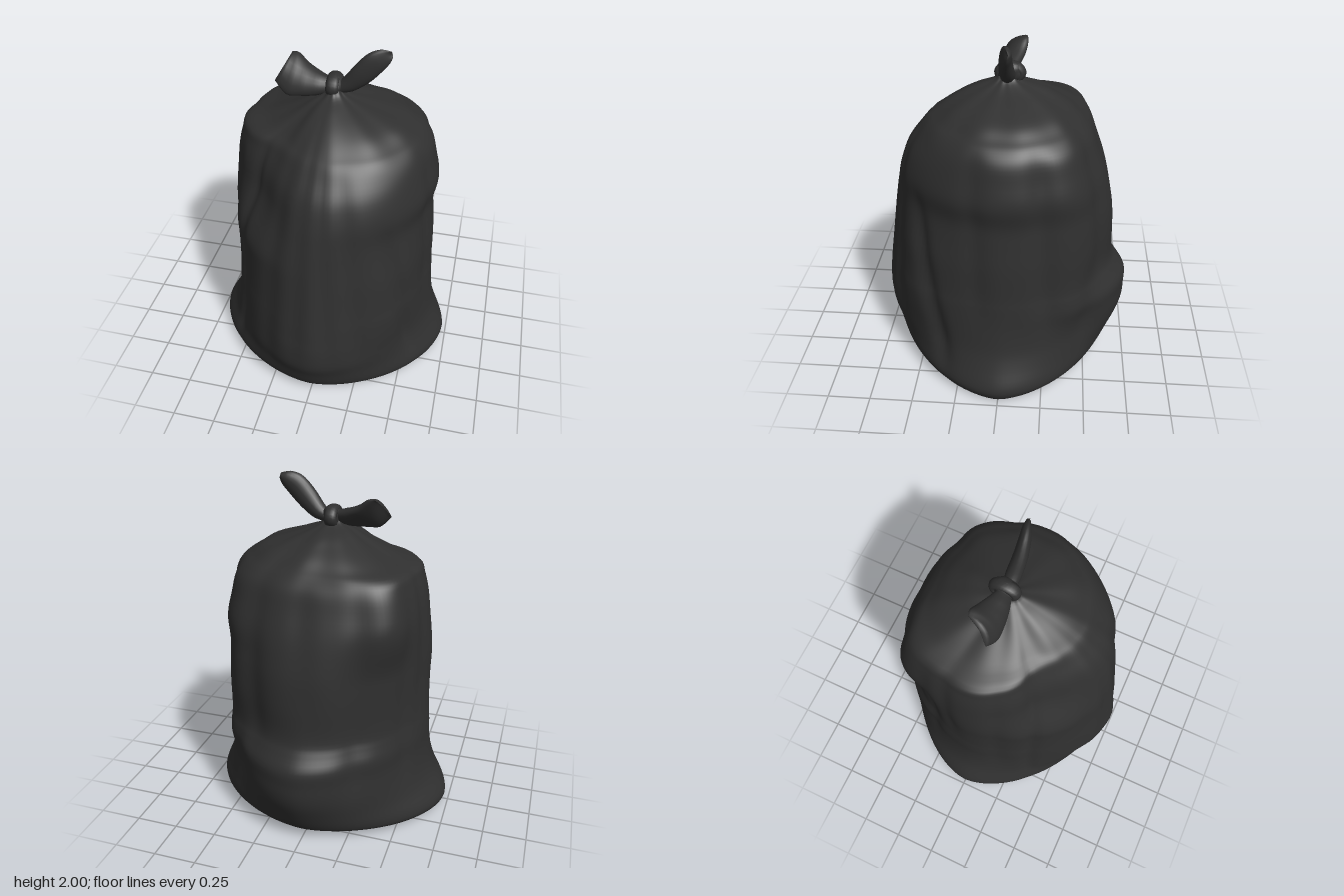
import * as THREE from 'three';

const plastic = new THREE.MeshStandardMaterial({ color: 0x303030, side: THREE.DoubleSide });

// Skins a list of closed rings (equal point counts) and closes both ends.
function loft(name, rings) {
  const n = rings[0].length, pos = [], idx = [];
  rings.forEach(r => r.forEach(p => pos.push(p.x, p.y, p.z)));
  for (let i = 0; i < rings.length - 1; i++) {
    for (let j = 0; j < n; j++) {
      const a = i * n + j, b = i * n + (j + 1) % n;
      idx.push(a, a + n, b, b, a + n, b + n);
    }
  }
  for (const end of [0, rings.length - 1]) {
    const c = new THREE.Vector3();
    rings[end].forEach(p => c.addScaledVector(p, 1 / n));
    const k = pos.length / 3;
    pos.push(c.x, c.y, c.z);
    for (let j = 0; j < n; j++) {
      const a = end * n + j, b = end * n + (j + 1) % n;
      if (end) idx.push(a, k, b); else idx.push(a, b, k);
    }
  }
  const g = new THREE.BufferGeometry();
  g.setAttribute('position', new THREE.Float32BufferAttribute(pos, 3));
  g.setIndex(idx);
  g.computeVertexNormals();
  const mesh = new THREE.Mesh(g, plastic);
  mesh.name = name;
  return mesh;
}

// Bag extents by height: y, -x, +x, front z, back z
const levels = [
  [0.02, 0.70, 0.70, 0.59, 0.48], [0.05, 0.725, 0.72, 0.64, 0.60],
  [0.10, 0.72, 0.725, 0.67, 0.64], [0.20, 0.66, 0.68, 0.70, 0.67],
  [0.30, 0.625, 0.645, 0.735, 0.69], [0.42, 0.605, 0.625, 0.74, 0.695],
  [0.52, 0.60, 0.615, 0.73, 0.705], [0.60, 0.595, 0.61, 0.72, 0.668],
  [0.67, 0.59, 0.605, 0.71, 0.645], [0.85, 0.587, 0.60, 0.685, 0.645],
  [1.00, 0.59, 0.587, 0.665, 0.635], [1.12, 0.585, 0.58, 0.65, 0.612],
  [1.25, 0.572, 0.60, 0.625, 0.575], [1.38, 0.555, 0.575, 0.575, 0.525],
  [1.48, 0.53, 0.55, 0.50, 0.485], [1.54, 0.505, 0.51, 0.45, 0.44],
  [1.575, 0.385, 0.46, 0.405, 0.405], [1.62, 0.28, 0.39, 0.34, 0.355],
  [1.66, 0.20, 0.27, 0.27, 0.29], [1.70, 0.13, 0.14, 0.18, 0.21],
  [1.735, 0.065, 0.065, 0.085, 0.09], [1.77, 0.04, 0.04, 0.05, 0.05],
];

// Creases: angle (90 = front), drift per unit height, width, depth, from y, to y
const creases = [
  [96, -2, 5, 0.022, 0.3, 1.75], [80, 4, 4, 0.02, 0.3, 1.7], [113, -4, 6, 0.02, 0.2, 1.75],
  [66, 6, 6, 0.025, 0.25, 1.6], [144, -3, 4, 0.03, 0.1, 1.65], [29, 20, 5, 0.045, 0.1, 1.2],
  [163, 0, 6, 0.02, 0.3, 1.6], [12, 3, 6, 0.02, 0.5, 1.6], [-26, 4, 7, 0.04, 0.4, 1.6],
  [-64, 6, 8, 0.04, 0.5, 1.7], [-48, -8, 7, 0.03, 0.2, 0.8], [243, -4, 7, 0.03, 0.3, 1.6],
  [209, 0, 6, 0.025, 0.3, 1.6], [268, 5, 8, 0.02, 0.7, 1.6], [192, 4, 5, 0.025, 0.7, 1.65],
];

// Broad swellings (negative depth) and hollows, in the same form
const lumps = [
  [130, 0, 27, 0.19, 1.04, 1.8], [225, 0, 22, -0.15, 1.08, 1.8], [315, 0, 25, -0.09, 0.4, 1.8],
  [45, 0, 22, -0.055, 0.35, 1.1], [278, 0, 30, -0.07, 0.15, 0.65],
];

function foldDepth(deg, y) {
  let d = 0;
  for (const [a, drift, w, depth, y0, y1] of [...creases, ...lumps]) {
    let t = deg - a - drift * (y - y0);
    t = ((t + 540) % 360) - 180;
    const fade = THREE.MathUtils.smoothstep(y, y0 - 0.1, y0 + 0.25)
      * (1 - THREE.MathUtils.smoothstep(y, y1 - 0.3, y1 + 0.1));
    d += depth * fade * Math.exp(-(t * t) / (w * w));
  }
  // Pleats gathering towards the knot
  const gather = THREE.MathUtils.smoothstep(y, 1.45, 1.72);
  return d + gather * 0.05 * (0.5 + 0.5 * Math.cos(THREE.MathUtils.degToRad(deg) * 11));
}

function makeBag() {
  const v = (a, b, c) => new THREE.Vector3(a, b, c);
  const xs = new THREE.CatmullRomCurve3(levels.map(l => v(l[0], l[1], l[2])), false, 'catmullrom');
  const zs = new THREE.CatmullRomCurve3(levels.map(l => v(l[0], l[3], l[4])), false, 'catmullrom');
  const rings = [], rows = 84, sides = 144;
  const ring = (t, shrink) => {
    const px = xs.getPoint(t), pz = zs.getPoint(t), y = px.x;
    const n = 1.72 + 0.25 * THREE.MathUtils.smoothstep(y, 0.7, 1.6);
    return Array.from({ length: sides }, (_, j) => {
      const a = j / sides * Math.PI * 2, c = Math.cos(a), s = Math.sin(a);
      const ex = c < 0 ? px.y : px.z, ez = s > 0 ? pz.y : pz.z;
      let r = (Math.abs(c / ex) ** n + Math.abs(s / ez) ** n) ** (-1 / n);
      r *= (1 - foldDepth(j / sides * 360, y)) * shrink;
      // Underside sags at the middle and the two side corners
      const low = 1 - THREE.MathUtils.smoothstep(y, 0.02, 0.2);
      const lift = low * (0.012 * (s * s - c * c) * shrink);
      return v(r * c, y + lift, r * s);
    });
  };
  for (const k of [0.3, 0.65, 0.92]) rings.push(ring(0, k));
  for (let i = 0; i <= rows; i++) rings.push(ring(i / rows, 1));
  return loft('bagBody', rings);
}

// Ear of the tie: each station is centre xyz, half-width vector xyz, thickness
function makeEar(name, stations, pucker) {
  const rows = 16, sides = 20;
  const pick = (k) => new THREE.CatmullRomCurve3(
    stations.map(s => new THREE.Vector3(s[k], s[k + 1], s[k + 2])), false, 'catmullrom');
  const mid = pick(0), wide = pick(3);
  const rings = [];
  for (let i = 0; i <= rows; i++) {
    const t = i / rows, c = mid.getPoint(t), u = wide.getPoint(t);
    const f = t * (stations.length - 1), q = Math.min(Math.floor(f), stations.length - 2);
    const thick = THREE.MathUtils.lerp(stations[q][6], stations[q + 1][6], f - q);
    const w = new THREE.Vector3().crossVectors(mid.getTangent(t), u).normalize();
    rings.push(Array.from({ length: sides }, (_, j) => {
      const a = j / sides * Math.PI * 2;
      const bend = pucker * t * Math.cos(2 * a);
      return c.clone().addScaledVector(u, Math.cos(a)).addScaledVector(w, -Math.sin(a) * thick + bend);
    }));
  }
  return loft(name, rings);
}

export function createModel() {
  const model = new THREE.Group();
  model.name = 'tiedBag';
  model.add(makeBag());

  const tie = new THREE.Group();
  tie.name = 'tie';
  tie.add(makeEar('rightEar', [
    [-0.02, 1.77, -0.01, 0, 0.03, -0.03, 0.03],
    [-0.09, 1.77, -0.01, 0.01, 0.045, -0.052, 0.042],
    [-0.17, 1.785, -0.017, 0.01, 0.065, -0.072, 0.042],
    [-0.235, 1.81, -0.02, 0.02, 0.088, -0.078, 0.032],
    [-0.285, 1.847, -0.025, 0.035, 0.06, -0.062, 0.012],
  ], 0.014));
  tie.add(makeEar('leftEar', [
    [0.02, 1.76, -0.01, -0.015, 0.025, 0.01, 0.035],
    [0.08, 1.79, -0.01, -0.03, 0.035, 0.01, 0.043],
    [0.15, 1.86, -0.005, -0.042, 0.045, 0.01, 0.04],
    [0.215, 1.93, -0.01, -0.04, 0.048, 0.008, 0.032],
    [0.265, 1.965, -0.022, -0.025, 0.038, 0.005, 0.022],
    [0.30, 1.977, -0.03, -0.004, 0.016, 0, 0.006],
  ], 0.006));

  // Knot: a wrapped band with a lumpy core
  const core = new THREE.SphereGeometry(1, 24, 16);
  const p = core.attributes.position;
  for (let i = 0; i < p.count; i++) {
    const x = p.getX(i), y = p.getY(i), z = p.getZ(i);
    const k = 1 + 0.08 * Math.sin(4 * y + 3 * z) * (1 - y * y);
    p.setXYZ(i, x * 0.05 * k, y * 0.06 * k, z * 0.075 * k);
  }
  core.computeVertexNormals();
  const knot = new THREE.Mesh(core, plastic);
  knot.name = 'knot';
  knot.position.set(0, 1.778, -0.02);
  tie.add(knot);
  const band = new THREE.Mesh(new THREE.TorusGeometry(0.05, 0.024, 10, 28), plastic);
  band.name = 'knotBand';
  band.rotation.y = Math.PI / 2;
  band.scale.set(1.2, 0.9, 1.5);
  band.position.set(-0.005, 1.772, -0.02);
  tie.add(band);
  model.add(tie);
  return model;
}
